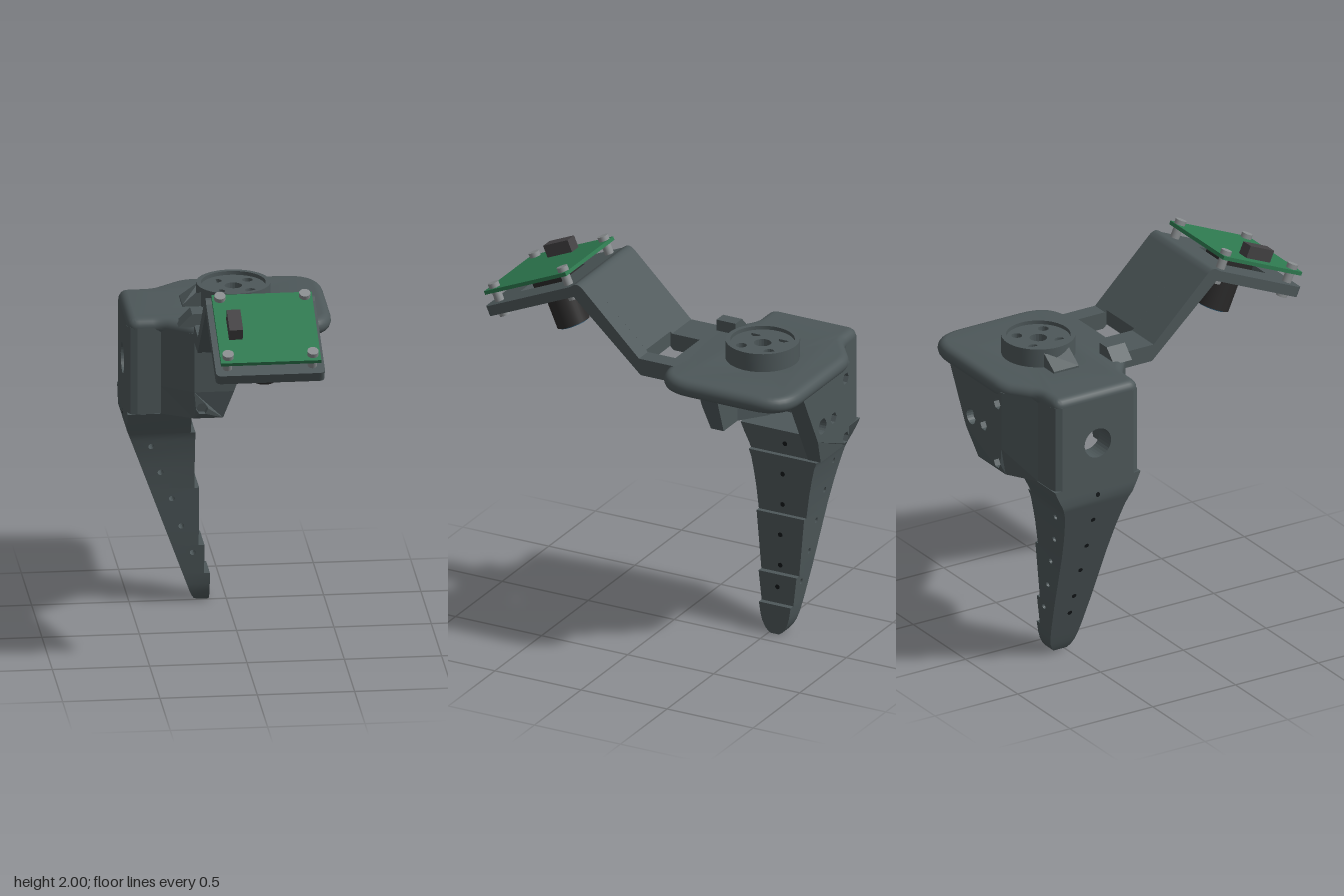
import * as THREE from 'three';
import { mergeGeometries, toCreasedNormals } from 'three/addons/utils/BufferGeometryUtils.js';

const mat = (color) => new THREE.MeshStandardMaterial({ color });
const slate = mat(0x4d5759), pcbGreen = mat(0x2e7a50), steel = mat(0x8a8e90);
const black = mat(0x2b2a2a), dark = mat(0x14181a), glass = mat(0x24506b), plastic = mat(0x444244);
const CZ = -0.535; // z of the palm's middle plane

function add(parent, name, geo, material = slate) {
  const mesh = new THREE.Mesh(geo, material);
  mesh.name = name;
  parent.add(mesh);
  return mesh;
}

// Closed outline from [x, y, cornerRadius] points
function outline(pts, Type = THREE.Shape) {
  const s = new Type();
  pts.forEach(([x, y, r = 0], i) => {
    const p = new THREE.Vector2(x, y);
    const toward = (q) => new THREE.Vector2(q[0], q[1]).sub(p).setLength(r).add(p);
    const a = r ? toward(pts[(i + pts.length - 1) % pts.length]) : p;
    if (i === 0) s.moveTo(a.x, a.y); else s.lineTo(a.x, a.y);
    if (r) {
      const b = toward(pts[(i + 1) % pts.length]);
      s.quadraticCurveTo(x, y, b.x, b.y);
    }
  });
  s.closePath();
  return s;
}

// Regular polygon (or circle) hole
function hole(x, y, r, n = 20) {
  const pts = [];
  for (let i = 0; i < n; i++) {
    const a = (i / n) * Math.PI * 2;
    pts.push([x + r * Math.cos(a), y + r * Math.sin(a)]);
  }
  return outline(pts, THREE.Path);
}

// Extrusions along z, y (points are x, z) and x (points are z, y)
function extrude(pts, d, holes = [], opts = {}) {
  const s = outline(pts);
  s.holes = holes;
  return new THREE.ExtrudeGeometry(s, { depth: d, bevelEnabled: false, curveSegments: 8, ...opts });
}
const alongZ = (pts, z0, z1, holes) => extrude(pts, z1 - z0, holes).translate(0, 0, z0);
const alongY = (pts, y0, y1, holes, opts) =>
  extrude(pts.map(([x, z, r]) => [x, -z, r]), y1 - y0, holes, opts).rotateX(-Math.PI / 2).translate(0, y0, 0);
const alongX = (pts, x0, x1, holes) =>
  extrude(pts.map(([z, y, r]) => [-z, y, r]), x1 - x0, holes).rotateY(Math.PI / 2).translate(x0, 0, 0);

function bend(geo, rule) {
  const p = geo.attributes.position, v = new THREE.Vector3();
  for (let i = 0; i < p.count; i++) {
    rule(v.fromBufferAttribute(p, i));
    p.setXYZ(i, v.x, v.y, v.z);
  }
  geo.computeVertexNormals();
  return geo;
}
const smooth = (geos, angle = 0.6) => toCreasedNormals(mergeGeometries(geos), angle);

function buildPalm(g) {
  // top plate with a fully rounded rim
  const half = [[-0.53, 0.255, 0.06], [-0.36, 0.255, 0.04], [-0.19, 0.383, 0.06], [0.52, 0.383, 0.2]];
  const plan = [...half.map(([x, z, r]) => [x, CZ + z, r]), ...half.slice().reverse().map(([x, z, r]) => [x, CZ - z, r])];
  const plate = alongY(plan, 1.555, 1.556, [hole(0.04, -CZ, 0.14, 40)],
    { bevelEnabled: true, bevelSize: 0.044, bevelThickness: 0.044, bevelOffset: -0.044, bevelSegments: 6 });
  add(g, 'palmPlate', smooth([plate]));

  // servo boss: ring and drilled horn disc
  const ring = [[0.165, 1.54], [0.19, 1.54], [0.19, 1.7], [0.165, 1.7], [0.165, 1.54]].map((p) => new THREE.Vector2(...p));
  add(g, 'bossRing', smooth([new THREE.LatheGeometry(ring, 48).toNonIndexed()])).position.set(0.04, 0, CZ);
  const drills = [hole(0.04, -CZ, 0.045)];
  for (const a of [-0.08, 0.08]) for (const b of [-0.08, 0.08]) drills.push(hole(0.04 + a, -CZ + b, 0.028));
  const disc = Array.from({ length: 40 }, (_, i) =>
    [0.04 + 0.17 * Math.cos(i * Math.PI / 20), CZ + 0.17 * Math.sin(i * Math.PI / 20)]);
  add(g, 'hornDisc', alongY(disc, 1.59, 1.68, drills));
  const ramp = alongY([[-0.23, CZ - 0.075], [-0.13, CZ - 0.075], [-0.04, CZ - 0.165], [-0.04, CZ + 0.165],
    [-0.13, CZ + 0.075], [-0.23, CZ + 0.075]], 1.59, 1.68);
  add(g, 'cableRamp', bend(ramp, (v) => { if (v.x < -0.2 && v.y > 1.6) v.y = 1.61; }));
  add(g, 'gusset', alongZ([[-0.28, 1.59], [-0.21, 1.66], [-0.14, 1.66], [-0.14, 1.59]], -0.28, -0.17));

  // housing walls, drawn in slightly toward the bottom
  const taper = (geo) => bend(geo, (v) => {
    if (v.y < 1.1 && Math.abs(v.z - CZ) > 0.3) v.z = CZ + (v.z - CZ) * 0.93;
  });
  for (const s of [1, -1]) {
    const name = s > 0 ? 'front' : 'back';
    const [xb, slope] = s > 0 ? [-0.05, 0.36] : [0.06, 0.524];
    const corner = [[-0.53, 0.215], [-0.515, 0.245], [-0.48, 0.255], [-0.36, 0.255], [-0.2, 0.375], [-0.2, 0.275],
      [-0.34, 0.165], [-0.53, 0.165]].map(([x, z]) => [x, CZ + s * z]);
    for (const [y0, y1] of [[1.09, 1.24], [1.24, 1.555]]) {
      add(g, name + 'HousingCorner', taper(alongY(corner, y0, y1)));
      const quad = [[-0.2, y0], [xb + slope * (y0 - 1.09), y0], [xb + slope * (y1 - 1.09), y1], [-0.2, y1]];
      const pockets = y0 < 1.2 ? [hole(-0.16, 1.15, 0.032, 6)] : [hole(-0.16, 1.48, 0.032, 6)];
      const through = [];
      if (s < 0 && y0 > 1.2) {
        pockets.push(hole(0.09, 1.31, 0.042), hole(-0.03, 1.31, 0.032, 6));
        through.push(hole(0.09, 1.31, 0.026));
      }
      const span = (a, b) => (s > 0 ? [CZ + a, CZ + b] : [CZ - b, CZ - a]);
      add(g, name + 'WallOuter', taper(alongZ(quad, ...span(0.335, 0.375), pockets)));
      add(g, name + 'WallInner', taper(alongZ(quad, ...span(0.275, 0.335), through)));
    }
  }
  add(g, 'endWall', alongX([[CZ - 0.215, 1.09], [CZ + 0.215, 1.09], [CZ + 0.215, 1.555], [CZ - 0.215, 1.555]],
    -0.53, -0.42, [hole(-CZ, 1.31, 0.08, 32)]));
}

function buildFinger(g) {
  const widths = [[0, 0.025], [0.01, 0.04], [0.03, 0.057], [0.06, 0.072], [0.1, 0.083], [0.16, 0.092], [0.32, 0.11],
    [0.64, 0.138], [0.8, 0.158], [0.92, 0.182], [0.96, 0.197], [1.0, 0.215], [1.04, 0.236], [1.09, 0.258]];
  const lerp = (table, y) => {
    const i = Math.max(1, table.findIndex((t) => t[0] >= y - 1e-6));
    const [a, b] = [table[i - 1], table[i]];
    return a[1] + (b[1] - a[1]) * (y - a[0]) / (b[0] - a[0]);
  };
  const backEdge = [[0, -0.15], [0.01, -0.168], [0.03, -0.18], [0.06, -0.193], [0.99, -0.53], [1.09, -0.53]];
  const palmSide = (y) => (y < 0.16 ? -0.09 : y < 0.32 ? -0.12 : y < 0.64 ? -0.15 : y < 0.96 ? -0.175 : -0.2);
  const levels = [0, 0.01, 0.03, 0.06, 0.1, 0.16, 0.25, 0.32, 0.4, 0.46, 0.55, 0.64, 0.7, 0.77, 0.85, 0.92, 0.96,
    0.99, 1.04, 1.09];
  const pins = [[-0.4, 0.885], [-0.35, 0.735], [-0.29, 0.585], [-0.24, 0.43], [-0.18, 0.28]];
  const bands = levels.slice(1).map((y1, i) => {
    const y0 = levels[i], xr = palmSide((y0 + y1) / 2);
    const holes = pins.filter(([, y]) => y > y0 && y < y1).map(([x, y]) => hole(x, y, 0.015, 12));
    const quad = [[lerp(backEdge, y0), y0], [xr, y0], [xr, y1], [lerp(backEdge, y1), y1]];
    return bend(extrude(quad, 1, holes), (v) => { v.z = CZ + (v.z - 0.5) * 2 * lerp(widths, v.y); });
  });
  add(g, 'finger', smooth(bands, 0.5));
  // small lacing holes on the gripping and outer faces
  for (const y of [0.25, 0.36, 0.53, 0.69, 0.86, 1.02]) {
    for (const [x, tilt] of [[palmSide(y), 0], [lerp(backEdge, y), y < 0.99 ? 0.35 : 0]]) {
      const dot = add(g, 'lacingHole', new THREE.CylinderGeometry(0.013, 0.013, 0.004, 12), dark);
      dot.rotation.z = Math.PI / 2 + tilt;
      dot.position.set(x, y, CZ);
    }
  }
}

function buildArm(g) {
  const upper = [[0.39, 1.865], [0.412, 1.915], [0.375, 1.94, 0.02], [0.345, 1.925, 0.015]];
  const full = [[-0.25, 1.51], [0, 1.51], ...upper, [0.01, 1.6], [-0.25, 1.6]];
  const short = [[0.02, 1.53], ...upper, [0.02, 1.61]];
  // two side strips and a shorter middle leave the window open
  add(g, 'armStrip', alongX(full, -0.2, 0.005));
  add(g, 'armMiddle', alongX(short, 0.005, 0.265));
  add(g, 'armStrip', alongX(full, 0.265, 0.36));
  add(g, 'windowEdge', new THREE.BoxGeometry(0.27, 0.09, 0.1)).position.set(0.135, 1.555, -0.2);
}

function buildCamera(g) {
  const cam = new THREE.Group();
  cam.name = 'cameraMount';
  cam.position.set(0.08, 1.755, 0.64);
  cam.rotation.x = 0.412;
  g.add(cam);
  const cyl = (name, r, y0, y1, x, z, m, n = 32) =>
    add(cam, name, new THREE.CylinderGeometry(r, r, y1 - y0, n), m).position.set(x, (y0 + y1) / 2, z);
  const sq = 0.13;
  add(cam, 'mountPlate', alongY([[-0.28, -0.275], [0.28, -0.275], [0.28, 0.268, 0.03], [-0.28, 0.268, 0.03]], 0, 0.055,
    [outline([[-sq, -sq], [sq, -sq], [sq, sq], [-sq, sq]], THREE.Path)]));
  add(cam, 'circuitBoard', new THREE.BoxGeometry(0.515, 0.02, 0.515), pcbGreen).position.set(0, 0.12, -0.005);
  add(cam, 'connector', new THREE.BoxGeometry(0.07, 0.066, 0.155), plastic).position.set(-0.165, 0.163, 0);
  add(cam, 'lensHolder', new THREE.BoxGeometry(0.18, 0.07, 0.18), black).position.set(0, 0.075, -0.02);
  cyl('lensBarrel', 0.088, -0.2, 0.1, 0, -0.02, black);
  cyl('lensGlass', 0.075, -0.206, -0.19, 0, -0.02, glass);
  for (const x of [-0.218, 0.218]) for (const z of [-0.23, 0.207]) {
    cyl('standoff', 0.024, 0.05, 0.112, x, z, steel, 20);
    cyl('screwHead', 0.029, 0.128, 0.155, x, z, steel, 20);
    cyl('screwNut', 0.029, -0.025, 0.002, x, z, steel, 20);
  }
}

export function createModel() {
  const model = new THREE.Group();
  model.name = 'gripperFinger';
  for (const [name, build] of [['palm', buildPalm], ['finger', buildFinger], ['arm', buildArm], ['camera', buildCamera]]) {
    const part = new THREE.Group();
    part.name = name;
    build(part);
    model.add(part);
  }
  return model;
}
